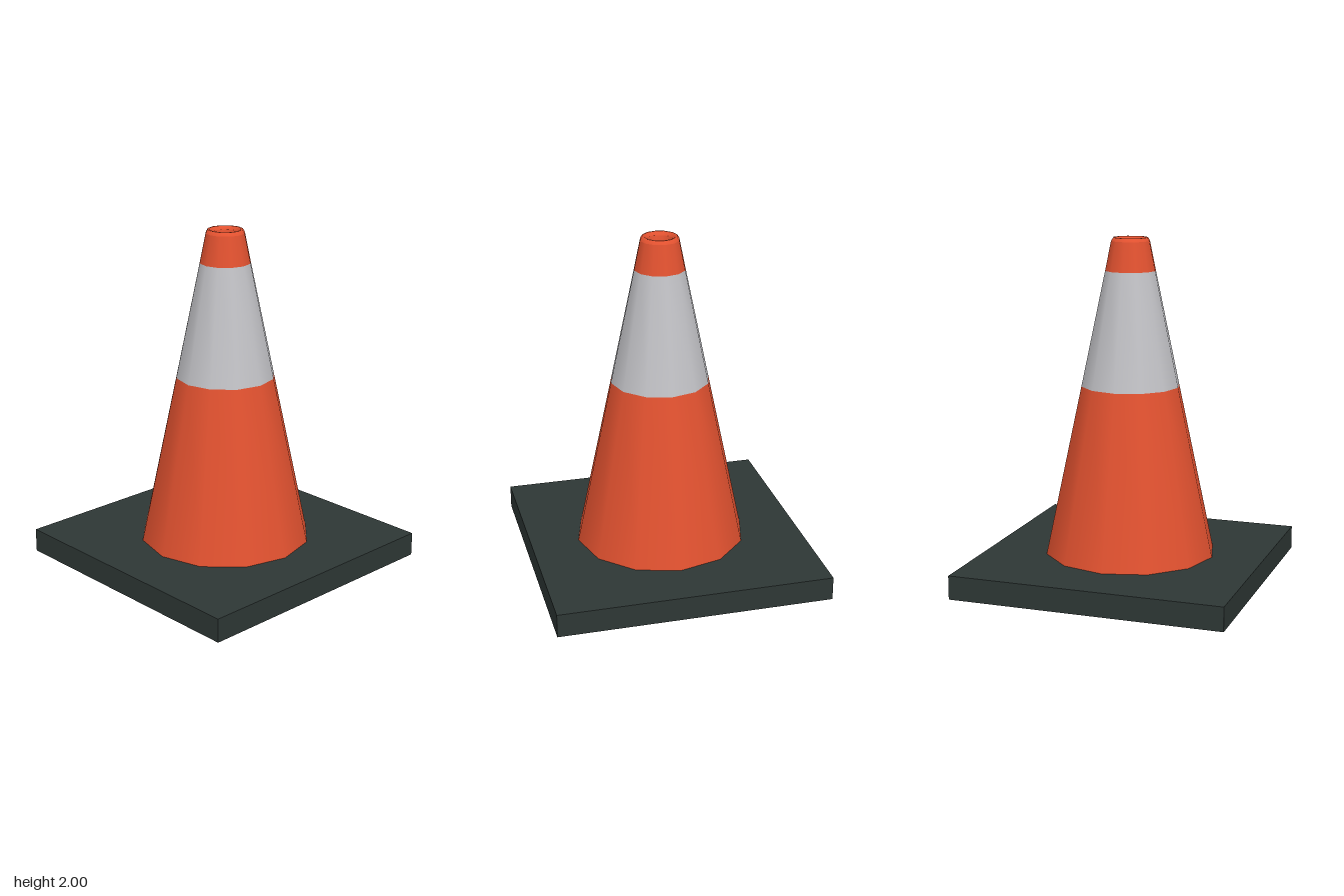
import * as THREE from 'three';

const SIDES = 12;

function material(name, color) {
  const m = new THREE.MeshStandardMaterial({ color });
  m.name = name;
  return m;
}

// Turned section of the cone; the profile runs up the outside and down the inside
function turned(name, profile, mat) {
  const points = profile.map(([r, y]) => new THREE.Vector2(r, y));
  const mesh = new THREE.Mesh(new THREE.LatheGeometry(points, SIDES), mat);
  mesh.name = name;
  return mesh;
}

export function createModel() {
  const orange = material('orange', 0xe35230);
  const white = material('reflective white', 0xc2c2c6);
  const dark = material('dark rubber', 0x2e3735);

  const model = new THREE.Group();
  model.name = 'trafficCone';

  // Square foot
  const base = new THREE.Mesh(new THREE.BoxGeometry(1.61, 0.14, 1.61), dark);
  base.name = 'base';
  base.position.y = 0.07;
  model.add(base);

  // Tapered body, slightly off centre on the foot
  const cone = new THREE.Group();
  cone.name = 'cone';
  cone.position.x = 0.015;
  cone.add(
    turned('lowerBody', [[0.505, 0.14], [0.291, 1.14]], orange),
    turned('reflectiveBand', [[0.291, 1.14], [0.149, 1.81]], white),
    turned('upperBody', [[0.149, 1.81], [0.114, 1.98]], orange),
    // Rounded rim and the hollow inside it
    turned('rim', [[0.114, 1.98], [0.102, 2], [0.09, 2], [0.078, 1.98]], orange),
    turned('hollow', [[0.078, 1.98], [0.036, 1.81]], orange),
    turned('hollowTip', [[0.036, 1.81], [0, 1.68]], white),
  );
  model.add(cone);
  return model;
}
